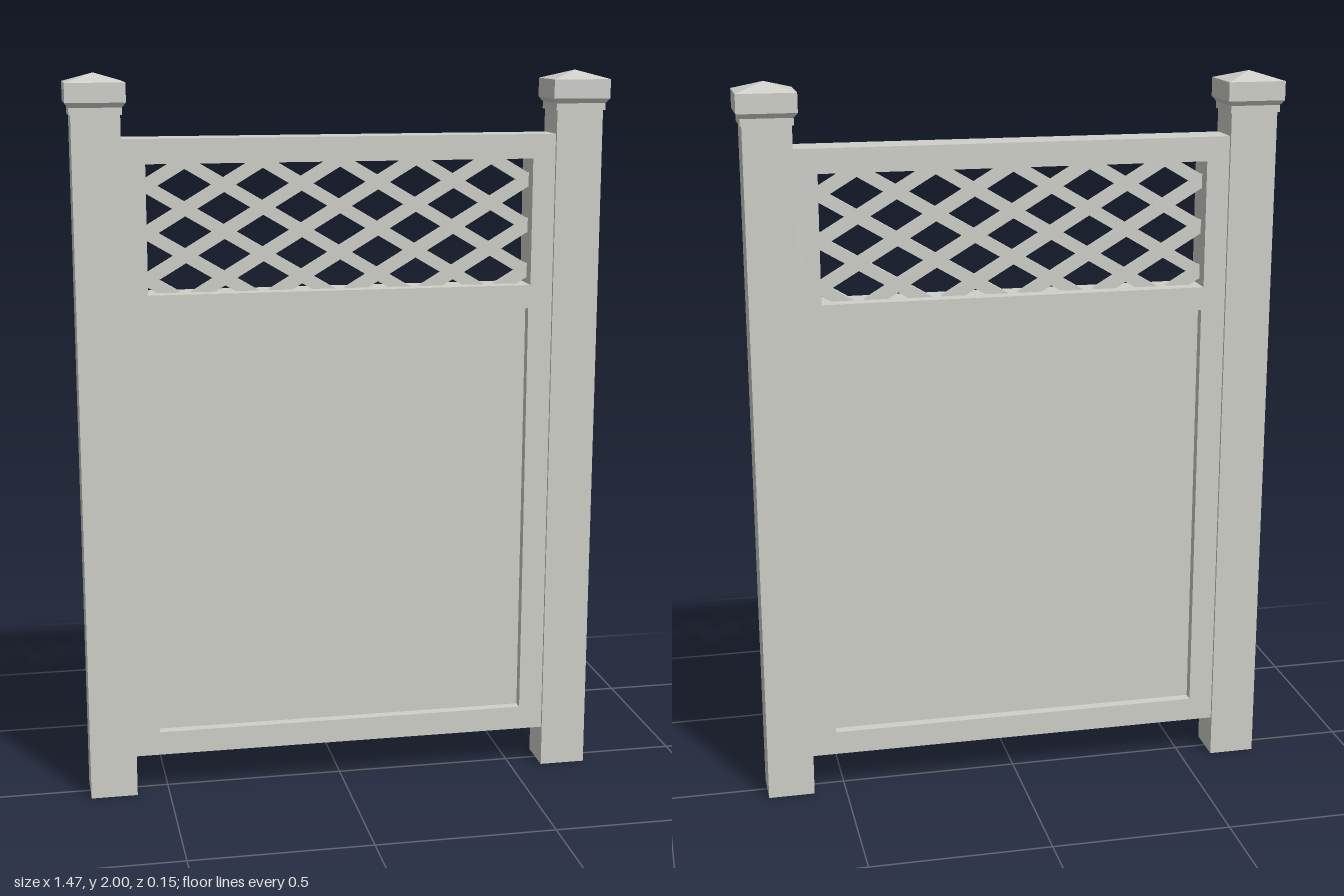
import * as THREE from 'three';

export function createModel() {
  const model = new THREE.Group();
  model.name = 'fencePanel';
  const vinyl = new THREE.MeshStandardMaterial({ color: 0xd0d0ca, flatShading: true });
  vinyl.name = 'paleGreyVinyl';

  function add(name, geometry, x = 0, y = 0, z = 0) {
    const mesh = new THREE.Mesh(geometry, vinyl);
    mesh.name = name;
    mesh.position.set(x, y, z);
    model.add(mesh);
    return mesh;
  }
  // Box given by its x and y limits and its depth, centred on z = 0
  function slab(name, x0, x1, y0, y1, depth) {
    add(name, new THREE.BoxGeometry(x1 - x0, y1 - y0, depth), (x0 + x1) / 2, (y0 + y1) / 2);
  }

  const postX = 0.655, inner = 0.592, frameDepth = 0.1;

  // Four-sided cap: neck, flare, upright band and shallow pyramid
  const capProfile = [
    [0.0645, 1.893], [0.069, 1.893], [0.069, 1.912], [0.079, 1.925], [0.079, 1.976], [0, 2],
  ].map(([half, y]) => new THREE.Vector2(half * Math.SQRT2, y));
  const capGeometry = new THREE.LatheGeometry(capProfile, 4);
  capGeometry.rotateY(Math.PI / 4);
  capGeometry.scale(1, 1, 0.935);

  for (const [side, s] of [['left', 1], ['right', -1]]) {
    add(side + 'Post', new THREE.BoxGeometry(0.129, 1.93, 0.116), s * postX, 0.965);
    add(side + 'PostCap', capGeometry, s * postX);
    // Stiles beside the solid panel and the lattice
    const stile = (name, edge, y0, y1) =>
      slab(side + name, Math.min(s * edge, s * inner), Math.max(s * edge, s * inner), y0, y1, frameDepth);
    stile('LowerStile', 0.523, 0.18, 1.353);
    stile('UpperStile', 0.528, 1.417, 1.764);
  }

  // Rails and recessed solid panel
  slab('bottomRail', -inner, inner, 0.113, 0.18, frameDepth);
  slab('middleRail', -inner, inner, 1.353, 1.417, frameDepth);
  slab('topRail', -inner, inner, 1.764, 1.83, frameDepth);
  slab('solidPanel', -0.53, 0.53, 0.17, 1.36, 0.044);

  // Lattice: two sets of diagonal slats, cut to the opening with ends tucked in the frame
  const halfW = 0.535, y0 = 1.41, y1 = 1.77;
  const slope = 0.596, pitch = 0.1255, halfSlat = 0.0192, thickness = 0.02;

  // Keep the part of a convex polygon where side(point) >= 0
  function clip(points, side) {
    const out = [];
    points.forEach((a, i) => {
      const b = points[(i + 1) % points.length];
      const da = side(a), db = side(b);
      if (da >= 0) out.push(a);
      if (da * db < 0) out.push(a.clone().lerp(b, da / (da - db)));
    });
    return out;
  }

  for (const dir of [1, -1]) {
    for (let k = -5; k <= 5; k++) {
      const mid = 1.578 + (k + 0.5) * pitch;
      const rise = dir * slope * halfW;
      let outline = [
        new THREE.Vector2(-halfW, mid - rise - halfSlat),
        new THREE.Vector2(halfW, mid + rise - halfSlat),
        new THREE.Vector2(halfW, mid + rise + halfSlat),
        new THREE.Vector2(-halfW, mid - rise + halfSlat),
      ];
      outline = clip(outline, (p) => p.y - y0);
      outline = clip(outline, (p) => y1 - p.y);
      if (outline.length < 3) continue;
      const slat = new THREE.ExtrudeGeometry(new THREE.Shape(outline), { depth: thickness, bevelEnabled: false });
      add('latticeSlat', slat, 0, 0, -thickness / 2);
    }
  }
  return model;
}
